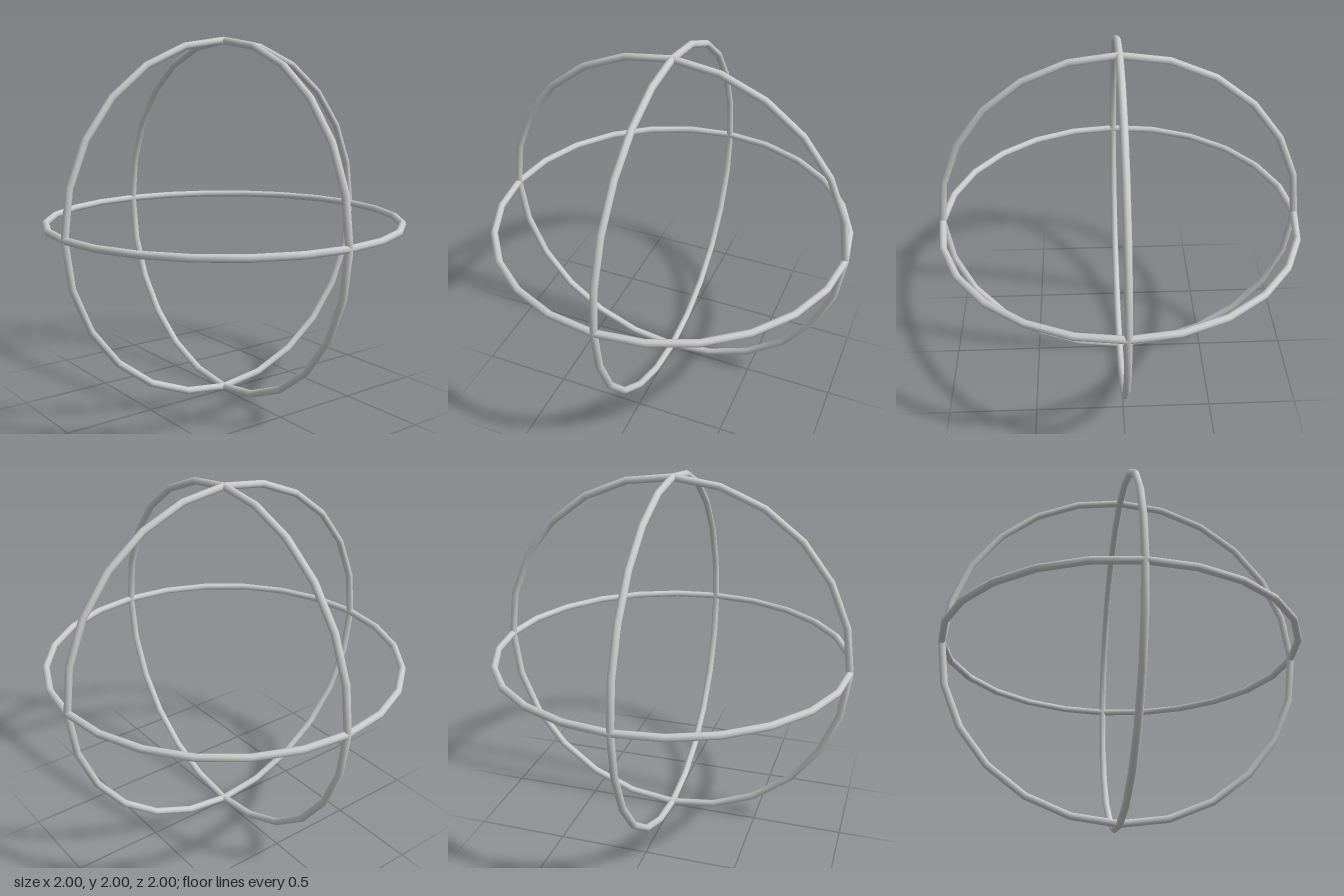
import * as THREE from 'three';

// Three slim rings crossing at right angles, sharing one centre.
export function createModel() {
  const group = new THREE.Group();
  const material = new THREE.MeshStandardMaterial({ color: 0xcccccc });
  const tube = 0.02;
  const ring = new THREE.TorusGeometry(1 - tube, tube, 8, 24);

  const rings = [
    ['frontRing', 0, 0],
    ['sideRing', 0, Math.PI / 2],
    ['horizontalRing', Math.PI / 2, 0],
  ];
  for (const [name, rx, ry] of rings) {
    const mesh = new THREE.Mesh(ring, material);
    mesh.name = name;
    mesh.rotation.set(rx, ry, 0);
    mesh.position.y = 1;
    group.add(mesh);
  }
  return group;
}
